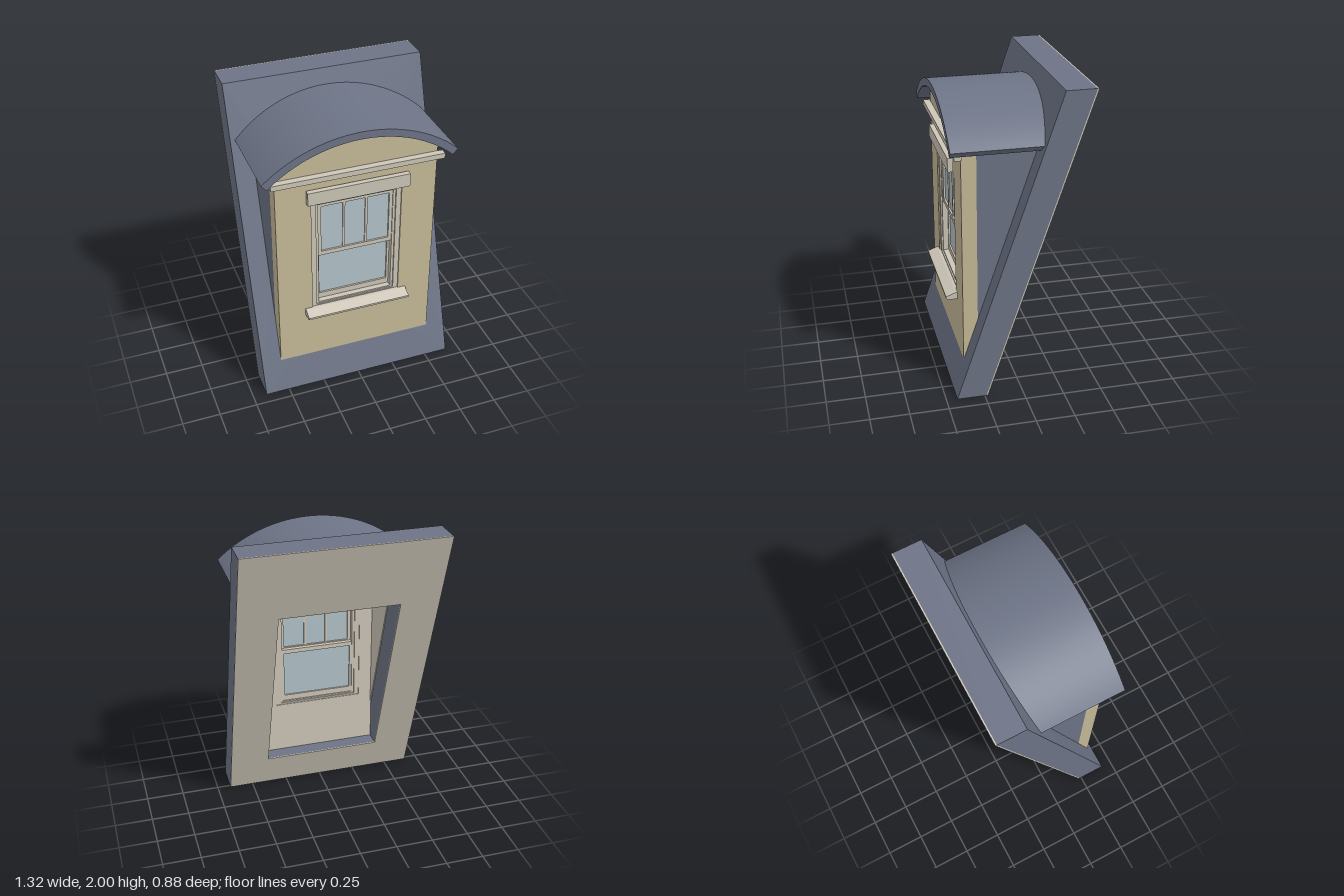
import * as THREE from 'three';
import { toCreasedNormals } from 'three/addons/utils/BufferGeometryUtils.js';

const material = (name, color) => {
  const m = new THREE.MeshStandardMaterial({ color });
  m.name = name;
  return m;
};

export function createModel() {
  const group = new THREE.Group();
  group.name = 'dormerWindow';
  const slate = material('slate blue roofing', 0x6d7486);
  const stucco = material('tan wall', 0xc6ba98);
  const trim = material('pale trim', 0xcdc6b8);
  const glass = material('pale blue glass', 0xb3c3ca);

  const SLOPE = 0.335, FRONT = 0.43;      // roof plane: z = FRONT - SLOPE * y
  const ARC_Y = 0.953, R_OUT = 0.947, R_IN = 0.897;

  const add = (name, geometry, mat) => {
    const mesh = new THREE.Mesh(geometry, mat);
    mesh.name = name;
    group.add(mesh);
    return mesh;
  };
  // Box given by its minimum and maximum on each axis
  const box = (name, x0, x1, y0, y1, z0, z1, mat) => {
    const g = new THREE.BoxGeometry(x1 - x0, y1 - y0, z1 - z0);
    g.translate((x0 + x1) / 2, (y0 + y1) / 2, (z0 + z1) / 2);
    return add(name, g, mat);
  };
  const polygon = pts => new THREE.Shape(pts.map(p => new THREE.Vector2(...p)));
  const rect = (w, y0, y1) => polygon([[-w, y0], [w, y0], [w, y1], [-w, y1]]);
  const extrude = (shape, z0, z1) => {
    const g = new THREE.ExtrudeGeometry(shape, { depth: z1 - z0, bevelEnabled: false, curveSegments: 28 });
    return g.translate(0, 0, z0);
  };
  // Rectangular ring in the xy plane
  const ring = (name, w, y0, y1, iw, iy0, iy1, z0, z1, mat) => {
    const s = rect(w, y0, y1);
    s.holes.push(rect(iw, iy0, iy1));
    return add(name, extrude(s, z0, z1), mat);
  };
  // Profile of [z, y] points extruded from x0 to x1
  const across = (name, pts, x0, x1, mat) => {
    const g = extrude(polygon(pts.map(([z, y]) => [-z, y])), x0, x1);
    return add(name, g.rotateY(Math.PI / 2), mat);
  };

  // Sloping main roof with a horizontal cut, and its inner lining
  for (const [name, z0, z1, mat] of [
    ['mainRoof', FRONT - 0.19, FRONT, slate],
    ['roofLining', FRONT - 0.2, FRONT - 0.19, trim],
  ]) {
    const g = ring(name, 0.66, 0, 2, 0.395, 0.24, 1.516, z0, z1, mat).geometry;
    const p = g.attributes.position;
    for (let i = 0; i < p.count; i++) p.setZ(i, p.getZ(i) - SLOPE * p.getY(i));
    g.computeVertexNormals();
  }

  // Barrel roof of the dormer, running back into the main roof
  const half = Math.asin(0.63 / R_OUT);
  const arch = new THREE.Shape();
  arch.absarc(0, ARC_Y, R_OUT, Math.PI / 2 - half, Math.PI / 2 + half, false);
  arch.absarc(0, ARC_Y, R_IN, Math.PI / 2 + half, Math.PI / 2 - half, true);
  arch.closePath();
  add('barrelRoof', toCreasedNormals(extrude(arch, -0.25, 0.44), 0.5), slate);

  // Arched front wall with window opening, plus inner lining
  const wallShape = w => {
    const a = Math.acos(w / R_IN);
    const s = new THREE.Shape();
    s.moveTo(-w, 0.2);
    s.lineTo(w, 0.2);
    s.absarc(0, ARC_Y, R_IN, a, Math.PI - a, false);
    s.closePath();
    s.holes.push(rect(0.3, 0.6, 1.4));
    return s;
  };
  add('frontWall', extrude(wallShape(0.53), 0.265, 0.36), stucco);
  add('frontWallLining', extrude(wallShape(0.5), 0.257, 0.265), trim);

  // Side cheeks and their inner linings
  const planeZ = y => FRONT - SLOPE * y;
  const Y0 = (FRONT - 0.265) / SLOPE;
  for (const s of [-1, 1]) {
    const side = s > 0 ? 'left' : 'right';
    const span = (a, b) => s > 0 ? [a, b] : [-b, -a];
    across(side + 'Cheek', [[0.265, Y0 - 0.05], [0.265, 1.675], [planeZ(1.675) - 0.05, 1.675],
      [planeZ(Y0) - 0.05, Y0 - 0.05]], ...span(0.395, 0.53), slate);
    across(side + 'CheekLining', [[0.265, Y0], [0.265, 1.675], [planeZ(1.675), 1.675]],
      ...span(0.389, 0.395), trim);
  }

  // Trim on the face of the wall
  box('corniceBand', -0.563, 0.563, 1.585, 1.62, 0.36, 0.405, trim);
  box('windowHeader', -0.335, 0.335, 1.43, 1.52, 0.37, 0.405, trim);
  across('windowSill', [[0.3, 0.61], [0.37, 0.602], [0.435, 0.578], [0.435, 0.565], [0.42, 0.555],
    [0.36, 0.555], [0.3, 0.575]], -0.35, 0.35, trim);

  // Window casing and frame
  ring('windowCasing', 0.3, 0.6, 1.4, 0.267, 0.612, 1.39, 0.262, 0.352, trim);
  ring('windowFrame', 0.267, 0.612, 1.39, 0.25, 0.622, 1.382, 0.27, 0.342, trim);

  // Upper and lower sashes
  ring('upperSash', 0.255, 0.99, 1.388, 0.228, 1.02, 1.36, 0.306, 0.335, trim);
  ring('lowerSash', 0.25, 0.618, 1.015, 0.235, 0.662, 0.985, 0.276, 0.305, trim);
  box('upperGlass', -0.23, 0.23, 1.015, 1.365, 0.317, 0.323, glass);
  box('lowerGlass', -0.237, 0.237, 0.655, 0.99, 0.287, 0.293, glass);
  for (const x of [-0.075, 0.075]) box('muntin', x - 0.008, x + 0.008, 1.015, 1.365, 0.31, 0.331, trim);

  return group;
}
